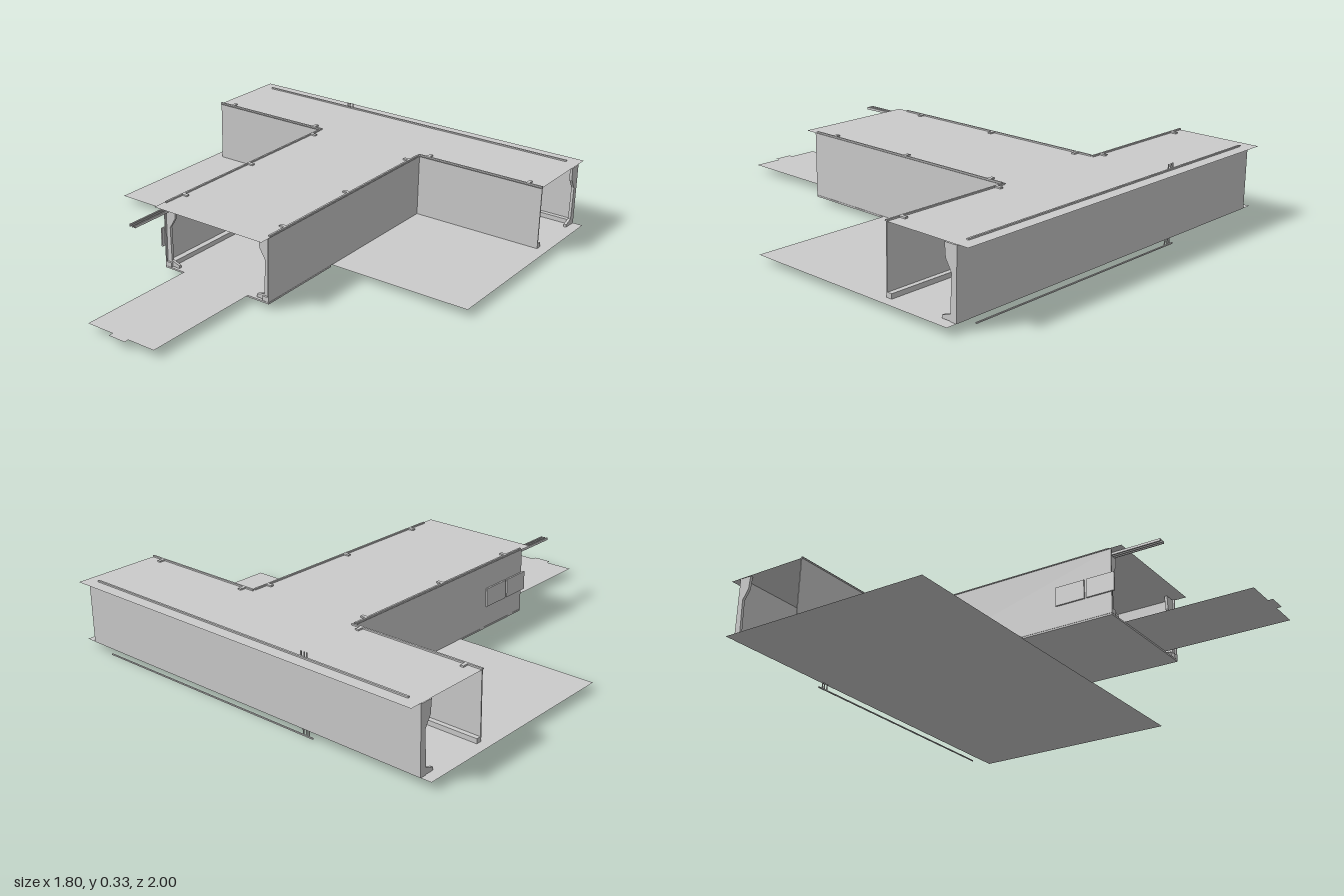
import * as THREE from 'three';

const material = new THREE.MeshStandardMaterial({ color: 0xcccccc, flatShading: true, side: THREE.DoubleSide });

export function createModel() {
  const model = new THREE.Group();
  model.name = 'corridorJunction';

  const add = (name, geometry) => {
    const mesh = new THREE.Mesh(geometry, material);
    mesh.name = name;
    model.add(mesh);
    return mesh;
  };
  // Box given by its lower and upper limits on each axis
  const box = (name, x0, x1, y0, y1, z0, z1) => {
    const mesh = add(name, new THREE.BoxGeometry(x1 - x0, y1 - y0, z1 - z0));
    mesh.position.set((x0 + x1) / 2, (y0 + y1) / 2, (z0 + z1) / 2);
    return mesh;
  };
  const shapeOf = (points) => new THREE.Shape(points.map(([x, y]) => new THREE.Vector2(x, y)));
  // Horizontal sheet from an outline in x and z
  const sheet = (name, points, y) => {
    const geometry = new THREE.ShapeGeometry(shapeOf(points));
    geometry.rotateX(Math.PI / 2);
    add(name, geometry).position.y = y;
  };
  const mirrored = (half) => [...half, ...half.map(([x, z]) => [-x, z]).reverse()];

  // Floors: wide slab, stem and entry walkway with its end tab
  sheet('mainFloor', mirrored([[0.9, -0.95], [0.9, 0.025]]), 0.03);
  box('stemFloor', -0.265, 0.265, 0.022, 0.029, 0.03, 0.44);
  sheet('walkway', mirrored([[0.165, 0.03], [0.165, 0.98], [0.04, 0.98], [0.04, 1]]), 0.031);

  // T-shaped ceiling
  sheet('ceiling', mirrored([[0.855, -1], [0.855, -0.61], [0.27, -0.61], [0.27, 0.49]]), 0.305);

  // Walls
  box('backWall', -0.855, 0.855, 0.03, 0.305, -0.951, -0.945);
  for (const s of [-1, 1]) {
    const span = (name, a, b, ...rest) => box(name, Math.min(s * a, s * b), Math.max(s * a, s * b), ...rest);
    span('stemWall', 0.26, 0.265, 0.03, 0.305, -0.62, 0.44);
    span('crossWall', 0.26, 0.855, 0.03, 0.305, -0.625, -0.62);

    // Skirting along the inside of the walls
    span('stemSkirting', 0.235, 0.26, 0.03, 0.05, -0.62, 0.44);
    span('crossSkirting', 0.26, 0.855, 0.03, 0.05, -0.645, -0.625);

    // Strips on the ceiling over the walls
    span('stemStrip', 0.258, 0.266, 0.305, 0.311, -0.61, 0.43);
    span('crossStrip', 0.26, 0.855, 0.305, 0.311, -0.625, -0.617);
    for (const z of [-0.55, -0.1, 0.32]) span('ceilingClip', 0.235, 0.26, 0.305, 0.311, z, z + 0.015);
    for (const x of [0.3, 0.78]) span('ceilingClip', x, x + 0.015, 0.305, 0.311, -0.65, -0.625);
  }
  box('backSkirting', -0.855, 0.855, 0.03, 0.05, -0.945, -0.925);
  box('backStrip', -0.8, 0.8, 0.305, 0.311, -0.95, -0.942);

  // Wall ribs, wide at the top and waisted below
  const ribShape = shapeOf([[0, 0], [0.06, 0], [0.06, 0.012], [0.022, 0.025], [0.018, 0.17],
    [0.045, 0.215], [0.05, 0.27], [0, 0.27]]);
  const ribGeometry = new THREE.ExtrudeGeometry(ribShape, { depth: 0.012, bevelEnabled: false });
  const rib = (name, x, z, turn) => {
    const mesh = add(name, ribGeometry);
    mesh.position.set(x, 0.032, z);
    mesh.rotation.y = turn;
  };
  for (const z of [-0.3, 0.42]) {
    rib('stemRib', -0.26, z, 0);
    rib('stemRib', 0.26, z + 0.012, Math.PI);
  }
  for (const x of [-0.855, 0.843]) rib('backRib', x, -0.945, -Math.PI / 2);
  for (const mesh of model.children) if (mesh.name === 'backRib') mesh.position.x += 0.012;

  // Angular door frame on the back wall
  const outline = (w, top, bottom) => mirrored([[w * 0.75, bottom], [w, bottom + 0.02], [w, top - 0.05], [w * 0.45, top]]);
  const frameShape = shapeOf(outline(0.125, 0.24, 0.035));
  frameShape.holes.push(new THREE.Path(outline(0.112, 0.228, 0.048).map(([x, y]) => new THREE.Vector2(x, y))));
  add('doorFrame', new THREE.ExtrudeGeometry(frameShape, { depth: 0.012, bevelEnabled: false })).position.z = -0.945;
  for (const s of [-1, 1])
    for (const y of [0.08, 0.13])
      box('wallPanel', s * 0.165 - 0.025, s * 0.165 + 0.025, y, y + 0.04, -0.945, -0.938);

  // Equipment panel outside the right stem wall
  box('sidePanel', -0.272, -0.265, 0.12, 0.2, 0.19, 0.32);
  box('sidePanel', -0.272, -0.265, 0.12, 0.2, 0.33, 0.455);

  // Rods projecting beside the entry
  for (const x of [-0.25, -0.237, -0.225]) box('entryRod', x - 0.003, x + 0.003, 0.284, 0.294, 0.43, 0.65);

  // Rail below the back edge, and small pins above and below
  box('lowerRail', -0.36, 0.755, 0, 0.005, -0.948, -0.943);
  for (const x of [-0.34, -0.328, -0.312]) {
    box('upperPin', x - 0.002, x + 0.002, 0.305, 0.33, -0.945, -0.941);
    box('lowerPin', x - 0.002, x + 0.002, 0.004, 0.03, -0.945, -0.941);
  }
  return model;
}
